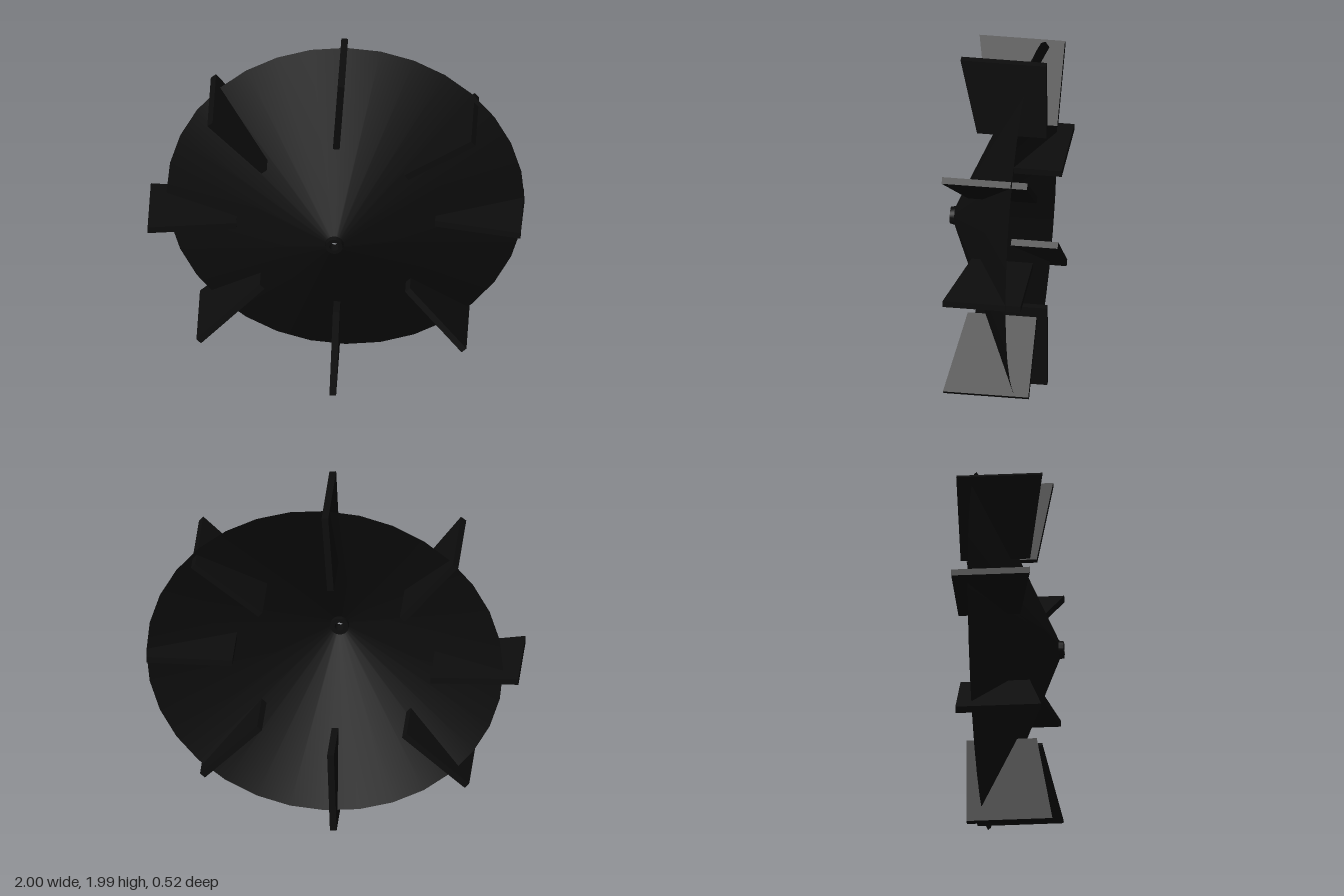
import * as THREE from 'three';
import { toCreasedNormals } from 'three/addons/utils/BufferGeometryUtils.js';

const CENTRE_Y = 1;
const THICKNESS = 0.036;

// Thin hollow cone with a bored hub; the rim is slightly off-centre from the hub
function discGeometry() {
  const profile = [
    [0.955, -0.18], [0.05, 0.235], [0.045, 0.26], [0.025, 0.26],
    [0.025, 0.2], [0.05, 0.2], [0.05, 0.223], [0.955, -0.18],
  ].map(([r, z]) => new THREE.Vector2(r, z));
  const geometry = new THREE.LatheGeometry(profile, 32);
  geometry.rotateX(Math.PI / 2);
  const p = geometry.attributes.position;
  for (let i = 0; i < p.count; i++) {
    const t = Math.hypot(p.getX(i), p.getY(i)) / 0.955;
    const shift = t > 0.1 ? t : 0;
    p.setXY(i, p.getX(i) + 0.043 * shift, p.getY(i) + 0.03 * shift);
  }
  return toCreasedNormals(geometry, 0.5);
}

// Flat fin running outward from (x0, y0) to (x1, y1), crossing the cone wall
function finGeometry([x0, y0, x1, y1, frontInner, frontOuter]) {
  const length = Math.hypot(x1 - x0, y1 - y0);
  const shape = new THREE.Shape([
    new THREE.Vector2(0, -0.26),
    new THREE.Vector2(length, -0.26),
    new THREE.Vector2(length, frontOuter),
    new THREE.Vector2(0, frontInner),
  ]);
  const geometry = new THREE.ExtrudeGeometry(shape, { depth: THICKNESS, bevelEnabled: false });
  geometry.translate(0, 0, -THICKNESS / 2);
  geometry.rotateX(Math.PI / 2);
  geometry.rotateZ(Math.atan2(y1 - y0, x1 - x0));
  geometry.translate(x0, y0, 0);
  return geometry;
}

export function createModel() {
  const model = new THREE.Group();
  model.name = 'finnedDisc';
  const material = new THREE.MeshStandardMaterial({ color: 0x0d0d0d });

  const disc = new THREE.Mesh(discGeometry(), material);
  disc.name = 'conicalDisc';
  disc.position.y = CENTRE_Y;
  model.add(disc);

  // Inner end, outer end, and front height at each end, relative to the hub
  const fins = {
    topFin: [0.005, 0.53, 0.035, 0.99, 0.115, 0.2],
    upperLeftFin: [0.38, 0.355, 0.74, 0.645, 0.11, 0.2],
    leftFin: [0.53, 0.035, 0.99, 0.03, 0.07, 0.16],
    lowerLeftFin: [0.385, -0.37, 0.69, -0.69, 0.11, 0.2],
    bottomFin: [0.005, -0.52, -0.01, -1, 0.115, 0.2],
    lowerRightFin: [-0.39, -0.37, -0.725, -0.67, 0.11, 0.2],
    rightFin: [-0.53, -0.01, -1, 0.01, 0.07, 0.16],
    upperRightFin: [-0.38, 0.37, -0.665, 0.73, 0.11, 0.2],
  };
  for (const [name, spec] of Object.entries(fins)) {
    const fin = new THREE.Mesh(finGeometry(spec), material);
    fin.name = name;
    fin.position.y = CENTRE_Y;
    model.add(fin);
  }
  return model;
}
